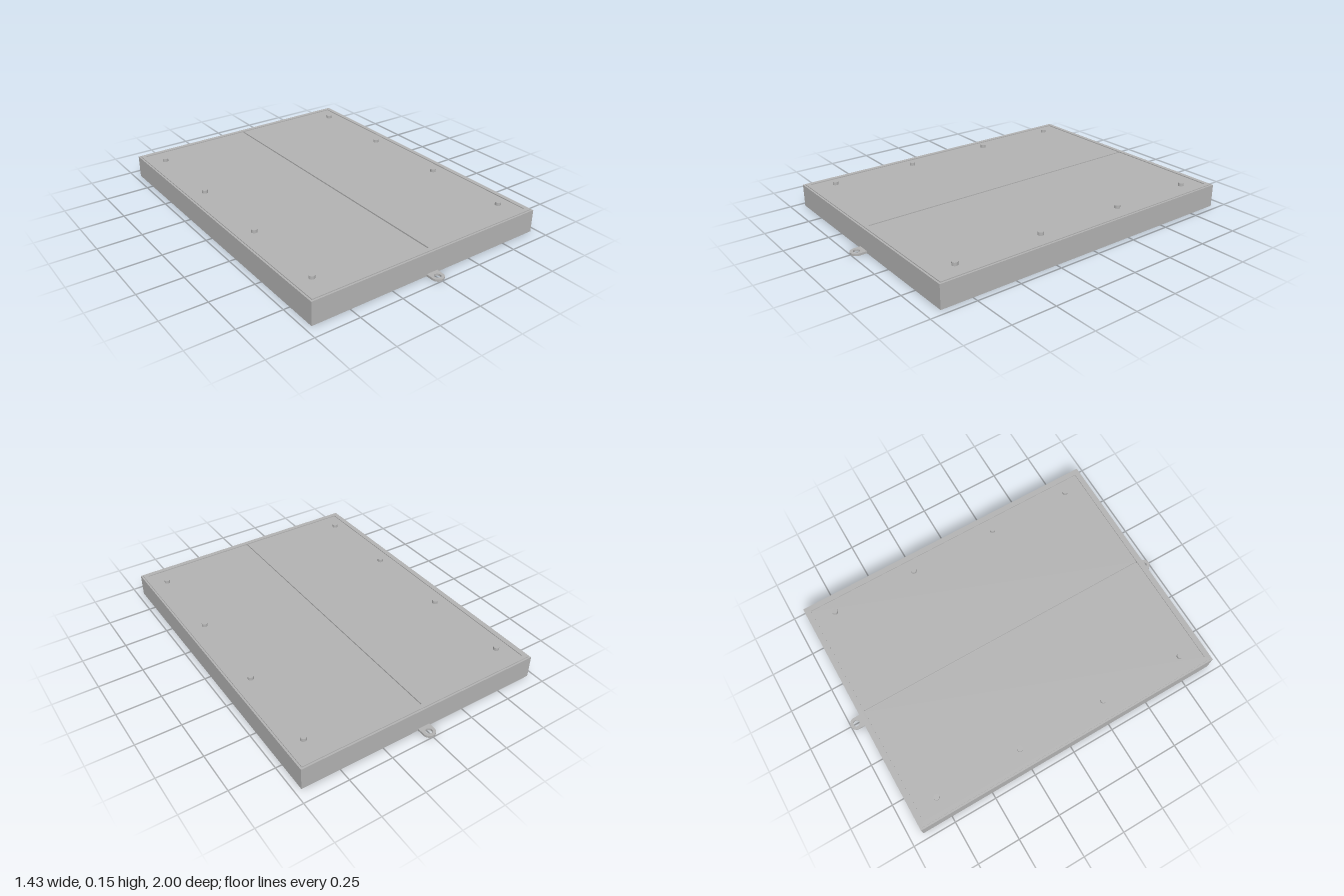
import * as THREE from 'three';

const HALF_X = 0.715, HALF_Z = 0.925;

export function createModel() {
  const group = new THREE.Group();
  const grey = new THREE.MeshStandardMaterial({ color: 0xb4b4b4 });
  grey.name = 'plain grey';

  const add = (name, geometry, x = 0, y = 0, z = 0) => {
    const mesh = new THREE.Mesh(geometry, grey);
    mesh.name = name;
    mesh.position.set(x, y, z);
    group.add(mesh);
    return mesh;
  };
  const box = (name, w, h, d, x, y, z) =>
    add(name, new THREE.BoxGeometry(w, h, d), x, y + h / 2, z);
  // Plan outline (x, -z) extruded upwards
  const slab = (shape, height) =>
    new THREE.ExtrudeGeometry(shape, { depth: height, bevelEnabled: false, curveSegments: 16 })
      .rotateX(-Math.PI / 2);
  const rect = (Type, x, z) => new Type([
    [-x, -z], [x, -z], [x, z], [-x, z],
  ].map(([a, b]) => new THREE.Vector2(a, b)));

  // Shallow tray body
  box('body', HALF_X * 2, 0.122, HALF_Z * 2, 0, 0, 0);
  const wall = rect(THREE.Shape, HALF_X, HALF_Z);
  wall.holes.push(rect(THREE.Path, HALF_X - 0.02, HALF_Z - 0.02));
  add('bodyRim', slab(wall, 0.008), 0, 0.122, 0);

  // Raised frame around the lid
  const frame = rect(THREE.Shape, HALF_X - 0.01, HALF_Z - 0.01);
  frame.holes.push(rect(THREE.Path, HALF_X - 0.034, HALF_Z - 0.034));
  add('lidFrame', slab(frame, 0.013), 0, 0.122, 0);

  for (const side of [-1, 1]) {
    // Two lid panels with a narrow seam between them
    const inner = HALF_X - 0.034;
    box('lidPanel', inner - 0.005, 0.008, (HALF_Z - 0.034) * 2,
      side * (inner + 0.005) / 2, 0.122, 0);

    // Lid screws
    for (const z of [-0.773, -0.265, 0.265, 0.773]) {
      add('screw', new THREE.CylinderGeometry(0.016, 0.016, 0.02, 20), side * 0.607, 0.138, z);
    }

    // Round-ended mounting lug with a bolt hole
    const lug = new THREE.Shape();
    lug.moveTo(-0.035, 0.92);
    lug.lineTo(0.035, 0.92);
    lug.lineTo(0.035, 0.965);
    lug.absarc(0, 0.965, 0.035, 0, Math.PI, false);
    lug.closePath();
    lug.holes.push(new THREE.Path().absarc(0, 0.965, 0.018, 0, Math.PI * 2, true));
    add('mountingLug', slab(lug, 0.012)).rotation.y = side > 0 ? Math.PI : 0;
  }
  return group;
}
